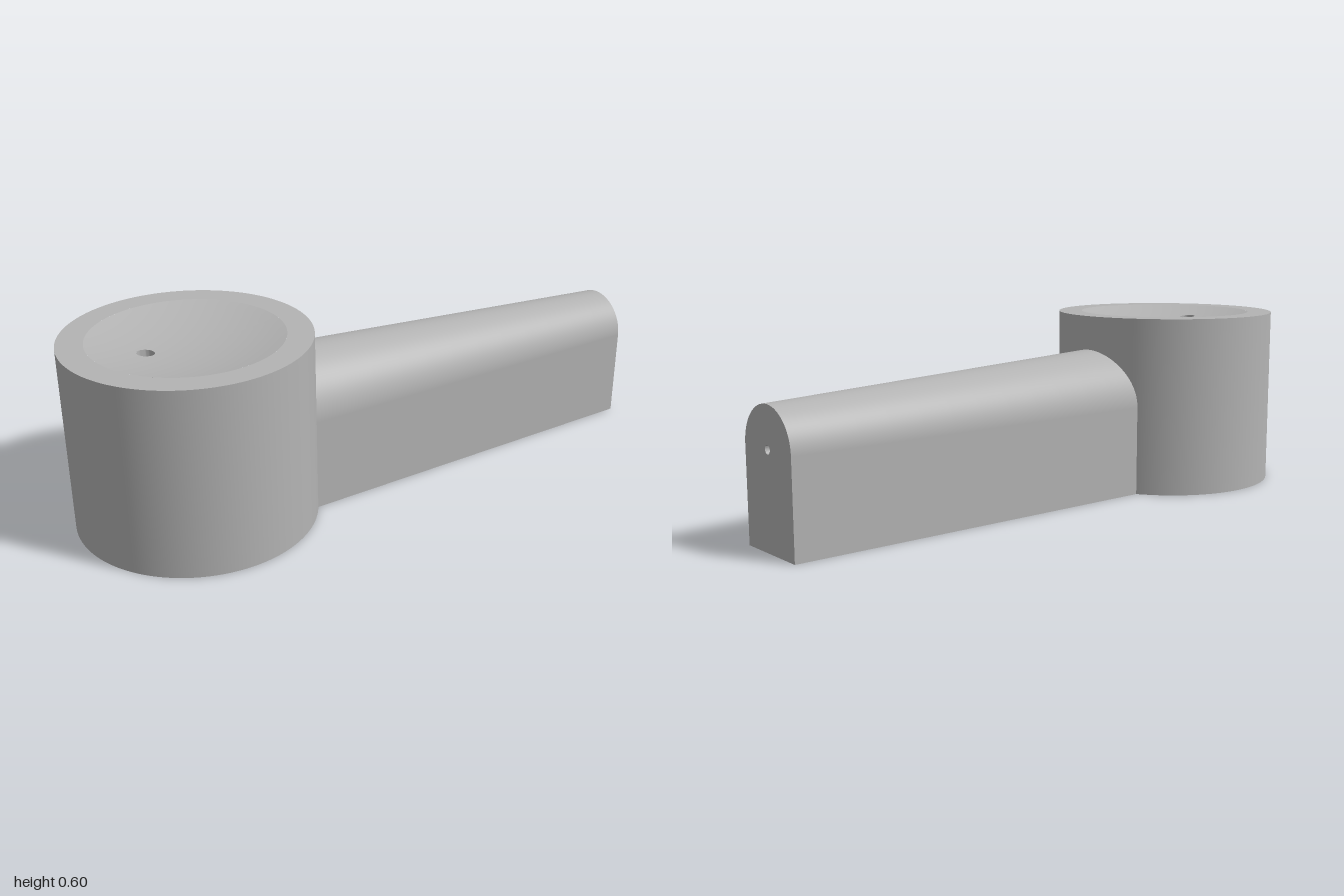
import * as THREE from 'three';
import { toCreasedNormals } from 'three/addons/utils/BufferGeometryUtils.js';

const CX = -0.618, R = 0.382, H = 0.6;          // round body
const DISH_R = 0.3, DISH_D = 0.035;             // shallow dish on its top
const HOLE_X = -0.13, HOLE_R = 0.027;           // small off-centre hole in the dish
const SOCKET_R = 0.088;                         // socket underneath
const PIN_R = 0.0135, SPRING = 0.3;             // hole in the arm end, start of the arch

const dishY = (x, z) => H - DISH_D * (1 - (x * x + z * z) / (DISH_R * DISH_R));
const halfWidth = (x) => 0.128 + 0.0456 * (1 - x);

// Smooth surface from a grid of points: point(u, v) with u, v in 0..1
function surface(nu, nv, point) {
  const pos = [], index = [];
  for (let i = 0; i <= nu; i++) {
    for (let j = 0; j <= nv; j++) pos.push(...point(i / nu, j / nv));
  }
  for (let i = 0; i < nu; i++) {
    for (let j = 0; j < nv; j++) {
      const a = i * (nv + 1) + j, b = a + nv + 1;
      index.push(a, b, a + 1, b, b + 1, a + 1);
    }
  }
  const g = new THREE.BufferGeometry();
  g.setAttribute('position', new THREE.Float32BufferAttribute(pos, 3));
  g.setIndex(index);
  g.computeVertexNormals();
  return g;
}

// Blind hole opening upwards at y = 0, seen from inside
function bore(r, depth) {
  const profile = [[r, 0], [r, -depth], [0, -depth]].map(([x, y]) => new THREE.Vector2(x, y));
  return toCreasedNormals(new THREE.LatheGeometry(profile, 40), 0.6);
}

export function createModel() {
  const group = new THREE.Group();
  const grey = new THREE.MeshStandardMaterial({ color: 0xb4b4b4 });
  grey.name = 'plain grey';
  const greyInside = grey;
  const add = (name, geometry, parent = group) => {
    const mesh = new THREE.Mesh(geometry, greyInside);
    mesh.name = name;
    parent.add(mesh);
    return mesh;
  };

  // Round body
  const body = new THREE.Group();
  body.name = 'roundBody';
  body.position.x = CX;
  group.add(body);
  add('bodyWall', new THREE.CylinderGeometry(R, R, H, 128, 1, true).translate(0, H / 2, 0), body);
  add('topRim', new THREE.RingGeometry(DISH_R, R, 128).rotateX(-Math.PI / 2).translate(0, H, 0), body);
  add('bodyBase', new THREE.RingGeometry(SOCKET_R, R, 128).rotateX(Math.PI / 2), body);

  // Dish, lofted from the small hole out to the rim
  add('dish', surface(16, 96, (u, v) => {
    const a = v * Math.PI * 2;
    const r = THREE.MathUtils.lerp(HOLE_R, DISH_R, u);
    const x = HOLE_X * (1 - u) + r * Math.cos(a);
    const z = -r * Math.sin(a);
    return [x, dishY(x, z), z];
  }), body);

  // Small hole in the dish, its lip following the curve
  const drain = bore(HOLE_R, 0.2).translate(HOLE_X, 0, 0);
  const p = drain.attributes.position;
  for (let i = 0; i < p.count; i++) {
    p.setY(i, p.getY(i) < -0.1 ? H - 0.25 : dishY(p.getX(i), p.getZ(i)));
  }
  add('dishHole', drain, body);

  // Socket underneath
  add('baseSocket', bore(SOCKET_R, 0.3).rotateX(Math.PI), body);

  // Tapered arm, cut to meet the round body; t is z / half width
  const arm = new THREE.Group();
  arm.name = 'arm';
  group.add(arm);
  const startX = (t) => {
    let x = -0.28;
    for (let i = 0; i < 8; i++) x = CX + Math.sqrt(R * R - (t * halfWidth(x)) ** 2);
    return x;
  };
  const armPoint = (u, t, rise) => {
    const x = THREE.MathUtils.lerp(startX(t), 1, u);
    const w = halfWidth(x);
    return [x, rise === null ? 0 : SPRING + rise * w, t * w];
  };
  const STEPS = 50;
  add('armShell', surface(12, STEPS, (u, v) => {
    const k = Math.round(v * STEPS);
    if (k === 0) return armPoint(u, 1, null);
    if (k === STEPS) return armPoint(u, -1, null);
    const a = ((k - 1) / (STEPS - 2)) * Math.PI;
    return armPoint(u, Math.cos(a), Math.sin(a));
  }), arm);
  add('armBase', surface(1, 24, (u, v) => armPoint(u, 2 * v - 1, null)), arm);

  // Flat arm end with its pin hole
  const w = halfWidth(1);
  const end = new THREE.Shape();
  end.moveTo(-w, 0);
  end.lineTo(w, 0);
  end.lineTo(w, SPRING);
  end.absarc(0, SPRING, w, 0, Math.PI, false);
  end.closePath();
  end.holes.push(new THREE.Path().absarc(0, SPRING, PIN_R, 0, Math.PI * 2, true));
  add('armEnd', new THREE.ShapeGeometry(end, 24).rotateY(Math.PI / 2).translate(1, 0, 0), arm);
  add('pinHole', bore(PIN_R, 0.2).rotateZ(-Math.PI / 2).translate(1, SPRING, 0), arm);

  return group;
}
